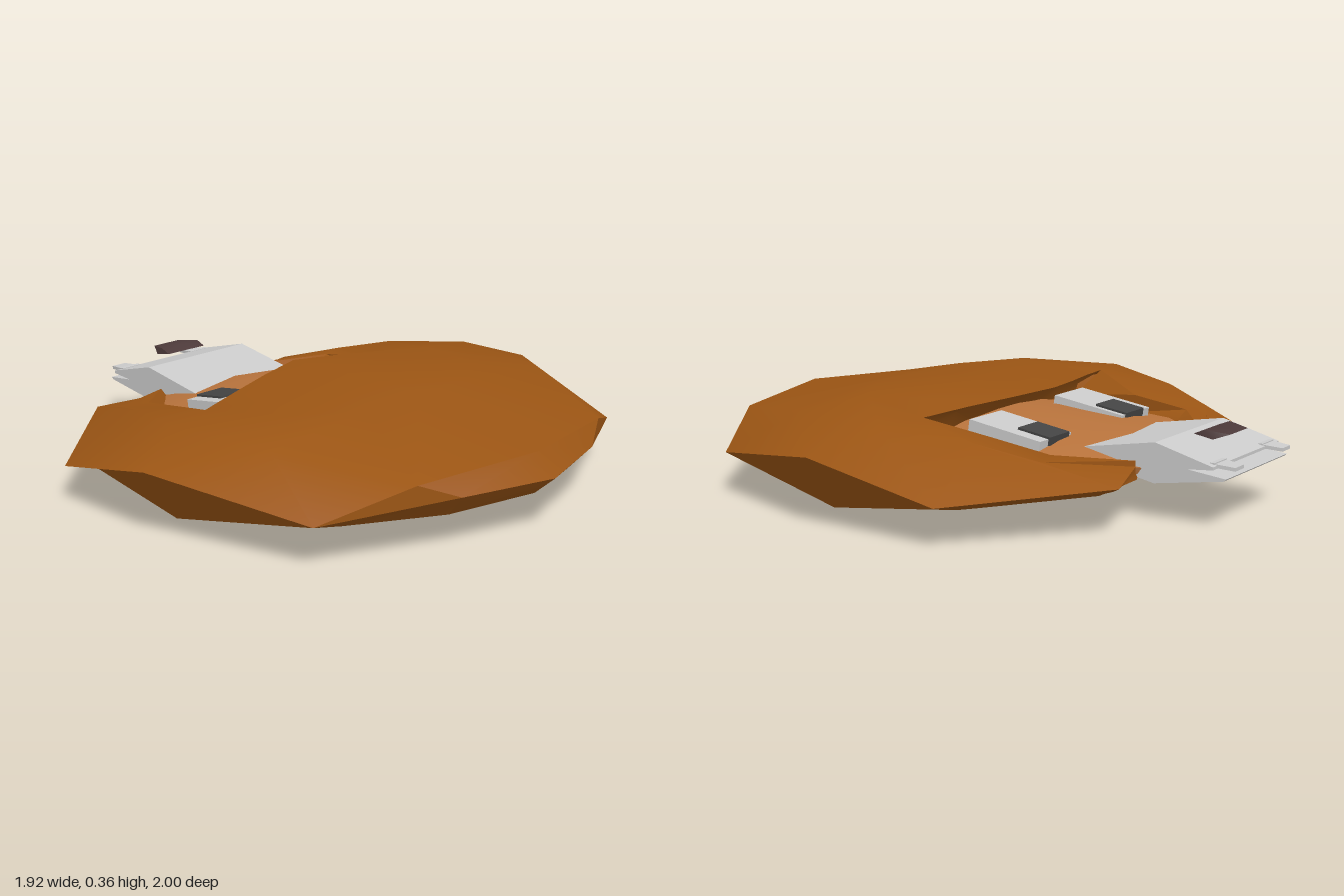
import * as THREE from 'three';
import { toCreasedNormals } from 'three/addons/utils/BufferGeometryUtils.js';

const FUR = 0x9b5514, SKIN = 0xb8733c, GREY = 0xcccccc, DARK = 0x444444, NOSE = 0x4d3a3a;

function part(name, geometry, color, side = THREE.FrontSide) {
  const mesh = new THREE.Mesh(geometry, new THREE.MeshStandardMaterial({ color, side }));
  mesh.name = name;
  return mesh;
}

// Skins rows of points on the +x half and mirrors them to the -x half
function halfGrid(...patches) {
  const pos = [];
  const tri = (a, b, c) => {
    pos.push(...a, ...b, ...c);
    for (const p of [a, c, b]) pos.push(p[0] === 0 ? 0 : -p[0], p[1], p[2]);
  };
  for (const rows of patches) {
    for (let r = 0; r < rows.length - 1; r++) {
      for (let c = 0; c < rows[r].length - 1; c++) {
        const a = rows[r][c], b = rows[r][c + 1], e = rows[r + 1][c + 1], d = rows[r + 1][c];
        tri(a, b, d);
        tri(b, e, d);
      }
    }
  }
  const g = new THREE.BufferGeometry();
  g.setAttribute('position', new THREE.Float32BufferAttribute(pos, 3));
  return toCreasedNormals(g, 0.6);
}

// Extrudes a side profile of [z, y] points across x
function sideExtrude(points, width) {
  const shape = new THREE.Shape(points.map(([z, y]) => new THREE.Vector2(-z, y)));
  return new THREE.ExtrudeGeometry(shape, { depth: width, bevelEnabled: false })
    .translate(0, 0, -width / 2).rotateY(Math.PI / 2);
}

export function createModel() {
  const model = new THREE.Group();

  // Mane: rings running from the front centre round to the back, bottom to top
  const recess = [[0, 0.06, 0.2], [0.2, 0.06, 0.21], [0.36, 0.065, 0.16], [0.53, 0.075, -0.04],
    [0.52, 0.09, -0.32], [0.38, 0.115, -0.6], [0.22, 0.135, -0.65]];
  const lip = [[0, 0.005, 0.22], [0.2, 0.01, 0.24], [0.38, 0.025, 0.19], [0.56, 0.045, -0.03],
    [0.55, 0.075, -0.33], [0.4, 0.11, -0.62], [0.23, 0.135, -0.66]];
  const belly = [[0, 0.02, 0.47], [0.22, 0.022, 0.46], [0.42, 0.03, 0.36], [0.68, 0.045, 0.06],
    [0.66, 0.085, -0.34], [0.42, 0.125, -0.65], [0.23, 0.145, -0.66]];
  const lower = [[0, 0.13, 0.92], [0.32, 0.12, 0.83], [0.56, 0.085, 0.6], [0.83, 0.055, 0.12],
    [0.8, 0.11, -0.35], [0.45, 0.145, -0.7], [0.24, 0.16, -0.66]];
  const rim = [[0, 0.2, 1], [0.34, 0.2, 0.9], [0.76, 0.155, 0.67], [0.96, 0.245, 0.12],
    [0.92, 0.14, -0.35], [0.48, 0.165, -0.74], [0.24, 0.18, -0.66]];
  const upper = [[0, 0.275, 0.93], [0.47, 0.255, 0.83], [0.68, 0.315, 0.4], [0.74, 0.32, 0],
    [0.64, 0.285, -0.3], [0.56, 0.235, -0.5], [0.24, 0.2, -0.66]];
  const shoulder = [[0, 0.354, 0.42], [0.25, 0.352, 0.41], [0.45, 0.352, 0.28], [0.56, 0.325, -0.04],
    [0.46, 0.265, -0.25], [0.455, 0.235, -0.47], [0.24, 0.2, -0.66]];
  const inner = [[0.47, 0.24, 0.02], [0.46, 0.2, -0.25], [0.36, 0.18, -0.46], [0.25, 0.17, -0.6]];
  // Crown and overhanging hood above the face
  const crown = [[0, 0.366, 0.1], [0.2, 0.362, 0.11], [0.4, 0.35, 0.09], [0.56, 0.325, -0.04]];
  const hood = [[0, 0.357, -0.19], [0.19, 0.348, -0.145], [0.38, 0.338, -0.09], [0.56, 0.325, -0.04]];
  const hoodUnder = [[0, 0.325, -0.07], [0.18, 0.32, -0.04], [0.34, 0.305, -0.01], [0.47, 0.28, 0.01]];
  const hoodBack = [[0, 0.24, 0.03], [0.18, 0.24, 0.03], [0.34, 0.24, 0.03], [0.47, 0.24, 0.02]];
  model.add(part('mane', halfGrid(
    [recess, lip, belly, lower, rim, upper, shoulder],
    [shoulder.slice(0, 4), crown, hood, hoodUnder, hoodBack],
    [shoulder.slice(3), inner],
  ), FUR, THREE.DoubleSide));

  // Oval throat plate set in the underside of the mane
  const oval = [...recess, [0, 0.14, -0.66]];
  model.add(part('throat', halfGrid([oval.map(() => [0, 0.06, -0.2]), oval]), SKIN, THREE.DoubleSide));

  // Face: ridged cross-sections [z, halfWidth, bottom, top] from front to back
  const faceRows = [[0.16, 0, 0.2, 0.2], [0.16, 0.44, 0.08, 0.28], [-0.1, 0.47, 0.085, 0.275],
    [-0.42, 0.46, 0.11, 0.246], [-0.58, 0.3, 0.13, 0.22], [-0.68, 0.22, 0.145, 0.19], [-0.68, 0, 0.17, 0.17]]
    .map(([z, w, lo, hi]) => [[0, hi, z], [w * 0.55, hi - (hi - lo) * 0.12, z], [w, hi - (hi - lo) * 0.35, z],
      [w * 0.95, lo + (hi - lo) * 0.2, z], [w * 0.6, lo, z], [0, lo, z]]);
  model.add(part('face', halfGrid(faceRows), SKIN));

  // Lower jaw bulging under the throat
  const jawLow = [[0, 0.03, -0.04], [0.2, 0.033, -0.05], [0.28, 0.05, -0.22], [0.24, 0.09, -0.46], [0, 0.097, -0.48]];
  const jawBase = [[0, 0.07, 0.03], [0.28, 0.08, 0.01], [0.36, 0.09, -0.2], [0.3, 0.12, -0.5], [0, 0.13, -0.53]];
  model.add(part('jaw', halfGrid([jawLow.map(() => [0, 0.053, -0.25]), jawLow, jawBase]), SKIN, THREE.DoubleSide));

  // Muzzle: upper and lower wedges
  model.add(part('upperMuzzle', sideExtrude(
    [[-0.4, 0.17], [-0.4, 0.212], [-0.52, 0.233], [-0.73, 0.27], [-0.94, 0.215], [-0.94, 0.205], [-0.6, 0.175]], 0.48), GREY));
  model.add(part('lowerMuzzle', sideExtrude(
    [[-0.5, 0.172], [-0.6, 0.185], [-0.82, 0.195], [-0.98, 0.178], [-0.97, 0.17], [-0.72, 0.13]], 0.45), GREY));

  // Nose: small faceted pad above the muzzle
  const noseFront = [[0, 0.28, -0.79], [0.09, 0.28, -0.79]];
  const noseTop = [[0, 0.296, -0.83], [0.09, 0.296, -0.83]];
  const noseTip = [[0, 0.286, -0.91], [0.062, 0.286, -0.91]];
  const noseBase = [[0, 0.268, -0.86], [0.09, 0.268, -0.86]];
  model.add(part('nose', halfGrid(
    [noseFront, noseTop, noseTip, noseBase, noseFront],
    [[noseFront[1], noseTop[1]], [noseBase[1], noseTip[1]]],
  ), NOSE, THREE.DoubleSide));

  for (const s of [1, -1]) {
    const side = s > 0 ? 'left' : 'right';

    // Eye: tilted block with a raised dark pupil
    const eye = new THREE.Group();
    eye.name = side + 'Eye';
    eye.position.set(s * 0.265, 0.242, -0.22);
    eye.rotation.x = -0.15;
    const pupil = part('pupil', new THREE.BoxGeometry(0.12, 0.03, 0.13), DARK);
    pupil.position.set(-s * 0.015, 0.02, -0.085);
    eye.add(part('eyeball', new THREE.BoxGeometry(0.19, 0.055, 0.29), GREY), pupil);
    model.add(eye);

    // Tooth: flat tapered blade with a wider root
    const tooth = new THREE.Group();
    tooth.name = side + 'Tooth';
    tooth.position.set(s * 0.173, 0.214, -0.925);
    const blade = new THREE.BoxGeometry(0.08, 0.012, 0.075).translate(0, 0, -0.0375);
    const p = blade.attributes.position;
    for (let i = 0; i < p.count; i++) if (p.getZ(i) < -0.05) p.setXY(i, p.getX(i) * 0.75, p.getY(i) - 0.006);
    blade.computeVertexNormals();
    tooth.add(part('blade', blade, GREY), part('root', new THREE.BoxGeometry(0.085, 0.018, 0.016), GREY));
    model.add(tooth);
  }
  return model;
}
